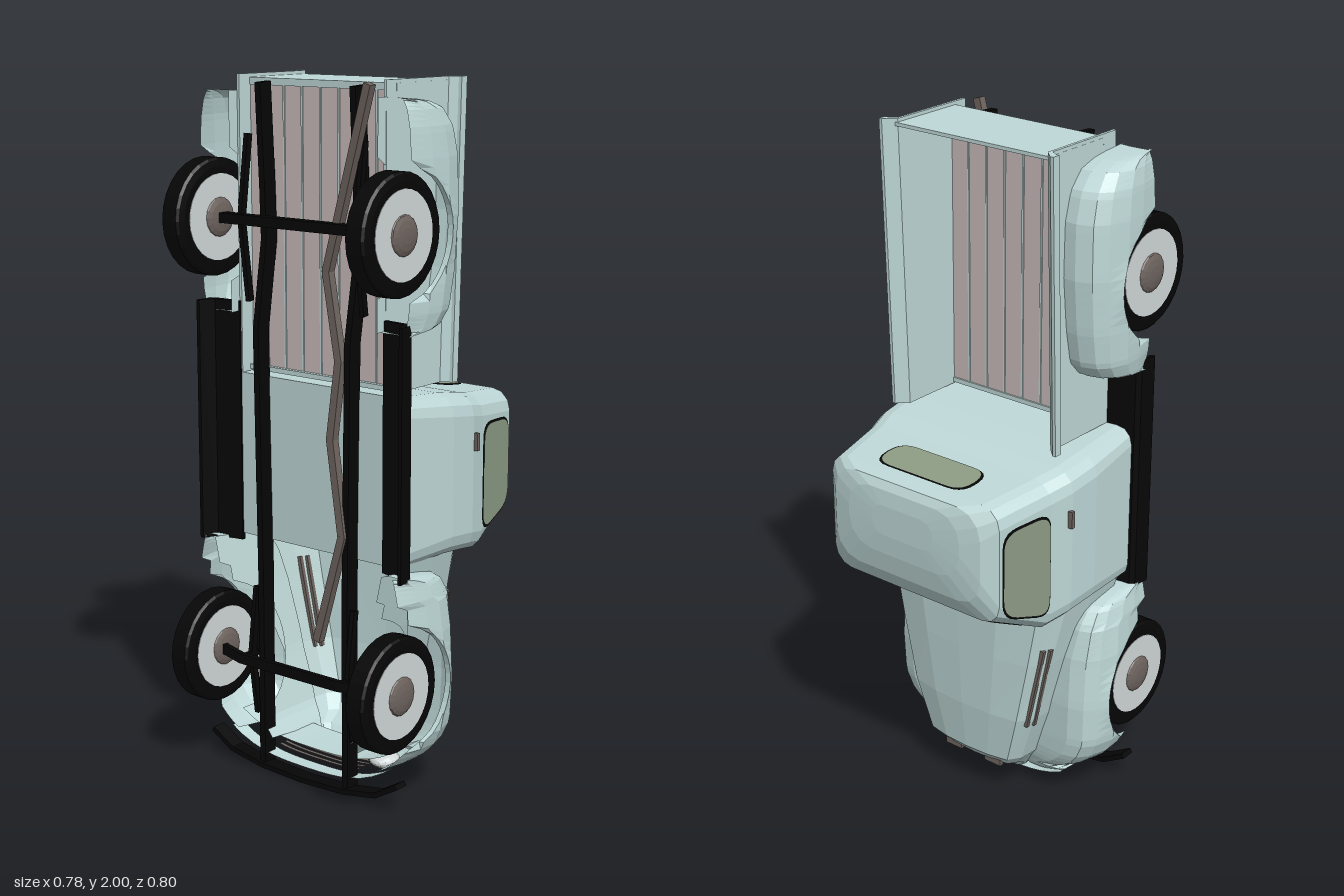
import * as THREE from 'three';

const mat = (color) => new THREE.MeshStandardMaterial({ color, flatShading: true, side: THREE.DoubleSide });
const PAINT = mat(0xbed8d7), BLACK = mat(0x060606), BROWN = mat(0x6e645f), GLASS = mat(0x8d9c85);
const WOOD = mat(0xc9bcbc), WHITE = mat(0xd2d8d8);

// Truck space: x across, y height above the road, z length (0 nose, 2 tail)
export function createModel() {
  const model = new THREE.Group();
  const truck = new THREE.Group();
  truck.name = 'truck';
  model.add(truck);

  const add = (name, geo, material) => {
    const m = new THREE.Mesh(geo, material);
    m.name = name;
    truck.add(m);
    return m;
  };
  const box = (name, w, h, d, x, y, z, material) => {
    const m = add(name, new THREE.BoxGeometry(w, h, d), material);
    m.position.set(x, y, z);
    return m;
  };
  // Straight bars through a list of points
  const bars = (name, pts, w, h, material) => {
    for (let i = 0; i + 1 < pts.length; i++) {
      const a = new THREE.Vector3(...pts[i]), b = new THREE.Vector3(...pts[i + 1]);
      const m = add(name, new THREE.BoxGeometry(w, h, a.distanceTo(b) + 0.004), material);
      m.position.copy(a).lerp(b, 0.5);
      m.lookAt(b);
    }
  };
  // Outline in x and height, drawn out along the length
  const extrude = (name, profile, s, z, depth, material) => {
    const shape = new THREE.Shape(profile.map(([x, h]) => new THREE.Vector2(s * x, h)));
    const m = add(name, new THREE.ExtrudeGeometry(shape, { depth, bevelEnabled: false }), material);
    m.position.z = z;
    return m;
  };
  // Skin over cross-sections, optionally closed around and capped
  const loft = (name, rings, material, closed = false, caps = []) => {
    const n = rings[0].length, pos = rings.flat(2), idx = [];
    for (let i = 0; i + 1 < rings.length; i++)
      for (let j = 0; j < (closed ? n : n - 1); j++) {
        const k = (j + 1) % n, a = i * n, b = a + n;
        idx.push(a + j, b + j, a + k, a + k, b + j, b + k);
      }
    for (const c of caps) {
      const center = [0, 1, 2].map((q) => rings[c].reduce((s, p) => s + p[q], 0) / n);
      const o = pos.length / 3;
      pos.push(...center);
      for (let j = 0; j < n; j++) idx.push(o, c * n + j, c * n + (j + 1) % n);
    }
    const g = new THREE.BufferGeometry();
    g.setAttribute('position', new THREE.Float32BufferAttribute(pos, 3));
    g.setIndex(idx);
    g.computeVertexNormals();
    return add(name, g, material);
  };
  // Linear lookup in rows sorted by first column
  const look = (rows, t, col) => {
    let i = 0;
    while (i < rows.length - 2 && t > rows[i + 1][0]) i++;
    const f = THREE.MathUtils.clamp((t - rows[i][0]) / (rows[i + 1][0] - rows[i][0]), 0, 1);
    return THREE.MathUtils.lerp(rows[i][col], rows[i + 1][col], f);
  };

  // Cab: rounded plan rings [height, half width, front, rear, corner radius]
  const cab = [
    [0.22, 0.345, 0.69, 1.165, 0.05], [0.4, 0.36, 0.69, 1.15, 0.06], [0.5, 0.355, 0.68, 1.135, 0.06],
    [0.57, 0.335, 0.665, 1.12, 0.06], [0.75, 0.302, 0.75, 1.1, 0.06], [0.782, 0.262, 0.805, 1.088, 0.08],
    [0.795, 0.2, 0.87, 1.065, 0.08], [0.8, 0.11, 0.93, 1.02, 0.04],
  ];
  loft('cab', cab.map(([h, w, f, b, r]) => {
    const ring = [];
    [[w - r, b - r], [-w + r, b - r], [-w + r, f + r], [w - r, f + r]].forEach(([cx, cz], q) => {
      for (let k = 0; k <= 3; k++) {
        const a = (q + k / 3) * Math.PI / 2;
        ring.push([cx + r * Math.cos(a), h, cz + r * Math.sin(a)]);
      }
    });
    return ring;
  }), PAINT, true, [0, cab.length - 1]);

  // Windows: rounded outlines laid on the cab walls
  const pane = (corners, place, name, round) => {
    const c = corners.map((p) => new THREE.Vector2(...p));
    const mid = c.reduce((s, p) => s.add(p), new THREE.Vector2()).divideScalar(4);
    [[1.04, 0.002, BLACK, ' seal'], [1, 0.005, GLASS, '']].forEach(([scale, off, material, suffix]) => {
      const p = c.map((v) => v.clone().sub(mid).multiplyScalar(scale).add(mid));
      const shape = new THREE.Shape();
      p.forEach((v, i) => {
        const prev = p[(i + 3) % 4], next = p[(i + 1) % 4];
        const a = v.clone().add(prev.clone().sub(v).setLength(round));
        const b = v.clone().add(next.clone().sub(v).setLength(round));
        if (i) shape.lineTo(a.x, a.y); else shape.moveTo(a.x, a.y);
        shape.quadraticCurveTo(v.x, v.y, b.x, b.y);
      });
      const g = new THREE.ShapeGeometry(shape, 5), P = g.attributes.position;
      for (let i = 0; i < P.count; i++) P.setXYZ(i, ...place(P.getX(i), P.getY(i), off));
      g.computeVertexNormals();
      add(name + suffix, g, material);
    });
  };
  pane([[-0.26, 0.59], [0.26, 0.59], [0.235, 0.73], [-0.235, 0.73]],
    (x, h, o) => [x, h, look(cab, h, 2) - o], 'windshield', 0.035);
  pane([[-0.157, 0.618], [0.157, 0.618], [0.157, 0.732], [-0.157, 0.732]],
    (x, h, o) => [x, h, look(cab, h, 3) + o], 'rear window', 0.055);
  for (const s of [-1, 1]) {
    pane([[0.725, 0.575], [1.035, 0.575], [1.025, 0.738], [0.775, 0.738]],
      (z, h, o) => [s * (look(cab, h, 1) + o), h, z], 'side window', 0.05);
    box('door handle', 0.02, 0.012, 0.05, s * 0.355, 0.51, 1.0, BROWN);
  }

  // Hood: arched sections [length, half width, top, bottom]
  const hood = [
    [0.035, 0.1, 0.4, 0.37], [0.075, 0.13, 0.44, 0.37], [0.1, 0.145, 0.5, 0.37], [0.14, 0.175, 0.537, 0.37],
    [0.3, 0.23, 0.556, 0.36], [0.5, 0.28, 0.565, 0.3], [0.7, 0.325, 0.572, 0.24],
  ];
  loft('hood', hood.map(([z, w, t, b]) => {
    const side = [[1, b], [1, b + (t - b) * 0.35], [0.97, b + (t - b) * 0.68], [0.83, t - (t - b) * 0.1], [0.45, t - 0.004]];
    return [...side.map(([k, h]) => [-w * k, h, z]), [0, t, z], ...side.reverse().map(([k, h]) => [w * k, h, z])];
  }), PAINT, false, [0]);
  for (const s of [-1, 1]) {
    bars('hood vent', [[s * 0.217, 0.487, 0.28], [s * 0.275, 0.487, 0.55]], 0.012, 0.012, BROWN);
    bars('hood vent', [[s * 0.206, 0.507, 0.28], [s * 0.264, 0.507, 0.55]], 0.012, 0.012, BROWN);
    box('nose slot', 0.06, 0.014, 0.02, s * 0.075, 0.497, 0.103, BROWN);
  }

  // Fenders: arched shells whose lower edge follows the wheel opening
  const fender = (name, rows, inner, lowAt, wheelZ, R) => {
    const z0 = rows[0][0], z1 = rows[rows.length - 1][0], N = 36;
    for (const s of [-1, 1]) {
      const rings = [];
      for (let i = 0; i <= N; i++) {
        const z = z0 + (z1 - z0) * (0.5 - 0.5 * Math.cos(Math.PI * i / N));
        const xo = look(rows, z, 1), t = look(rows, z, 2), xi = Math.min(inner(z), xo - 0.01);
        const d = Math.abs(z - wheelZ), low = lowAt(z);
        const b = Math.min(d < R ? Math.max(low, 0.165 + Math.sqrt(R * R - d * d)) : low, t - 0.01);
        const c = Math.min(0.09, (xo - xi) * 0.7), H = t - low;
        const y = (k) => Math.max(b, low + H * k);
        rings.push([[xo - 0.018, b, z], [xo - 0.003, y(0.3), z], [xo, y(0.55), z], [xo - c * 0.2, y(0.8), z],
          [xo - c * 0.5, y(0.94), z], [xo - c, t, z], [xi, t - 0.003, z], [xi, b, z]].map(([x, h, l]) => [s * x, h, l]));
      }
      loft(name, rings, PAINT);
    }
  };
  fender('front fender', [
    [0.055, 0.19, 0.385], [0.076, 0.24, 0.4], [0.117, 0.315, 0.418], [0.16, 0.36, 0.427], [0.22, 0.387, 0.432],
    [0.35, 0.392, 0.435], [0.5, 0.39, 0.425], [0.6, 0.382, 0.405], [0.65, 0.372, 0.37], [0.67, 0.367, 0.28], [0.683, 0.362, 0.17],
  ], (z) => look(hood, z, 1) - 0.015, (z) => (z < 0.09 ? 0.36 : z > 0.6 ? 0.15 : 0.19), 0.353, 0.19);
  fender('rear fender', [
    [1.34, 0.365, 0.2], [1.352, 0.375, 0.36], [1.4, 0.385, 0.405], [1.5, 0.39, 0.425], [1.65, 0.392, 0.44],
    [1.8, 0.39, 0.437], [1.88, 0.385, 0.415], [1.93, 0.375, 0.37], [1.95, 0.365, 0.3], [1.957, 0.36, 0.2],
  ], () => 0.262, () => 0.185, 1.61, 0.178);

  // Nose face: curved panels around a recessed grille
  const plan = (x) => 0.04 + 0.12 * (Math.abs(x) / 0.36) ** 3;
  const ribbon = (name, half, h0, h1, back, material) => {
    const xs = Array.from({ length: 15 }, (_, i) => half * (i / 7 - 1));
    loft(name, xs.map((x) => [[x, h0, plan(x) + back], [x, h1, plan(x) + back]]), material);
  };
  ribbon('lower nose panel', 0.285, 0.19, 0.235, 0, PAINT);
  ribbon('upper nose panel', 0.25, 0.36, 0.4, 0, PAINT);
  ribbon('grille backing', 0.28, 0.23, 0.37, 0.045, PAINT);
  for (let i = 0; i < 5; i++) ribbon('grille bar', 0.15, 0.246 + i * 0.023, 0.258 + i * 0.023, 0.008, BROWN);
  for (const s of [-1, 1]) {
    const lamp = add('headlight', new THREE.SphereGeometry(0.045, 14, 8), WHITE);
    lamp.scale.z = 0.5;
    lamp.position.set(s * 0.205, 0.298, 0.085);
  }

  // Cargo bed
  box('bed floor', 0.52, 0.012, 0.8, 0, 0.272, 1.58, WOOD);
  for (let i = -3; i <= 3; i++) box('floor strip', 0.006, 0.018, 0.79, i * 0.065, 0.272, 1.58, PAINT);
  box('tailgate', 0.527, 0.24, 0.01, 0, 0.385, 1.985, PAINT);
  box('tail sill', 0.527, 0.012, 0.02, 0, 0.268, 1.98, PAINT);
  box('front sill', 0.52, 0.03, 0.014, 0, 0.268, 1.177, PAINT);
  for (const s of [-1, 1]) {
    const side = extrude('bed side', [[0.254, 0.22], [0.263, 0.22], [0.263, 0.49], [0.285, 0.505], [0.295, 0.505],
      [0.295, 0.53], [0.285, 0.53], [0.254, 0.5]], s, 1.165, 0.835, PAINT);
    // The top rail drops slightly towards the cab
    const P = side.geometry.attributes.position;
    for (let i = 0; i < P.count; i++)
      if (P.getY(i) > 0.4) P.setY(i, P.getY(i) - 0.027 * (1 - P.getZ(i) / 0.835));
  }

  // Wheels, the same on both faces
  const tyre = [[0.09, -0.03], [0.115, -0.035], [0.14, -0.035], [0.158, -0.031], [0.165, -0.025],
    [0.165, 0.025], [0.158, 0.031], [0.14, 0.035], [0.115, 0.035], [0.09, 0.03]].map((p) => new THREE.Vector2(...p));
  for (const z of [0.353, 1.61]) for (const s of [-1, 1]) {
    const wheel = new THREE.Group();
    wheel.name = 'wheel';
    const part = (name, geo, material, y, flat = 1) => {
      const m = new THREE.Mesh(geo, material);
      m.name = name;
      m.position.y = y;
      m.scale.y = flat;
      wheel.add(m);
    };
    part('tyre', new THREE.LatheGeometry(tyre, 28), BLACK, 0);
    part('whitewall', new THREE.CylinderGeometry(0.121, 0.121, 0.073, 28), WHITE, 0);
    for (const f of [-1, 1])
      part('hubcap', new THREE.SphereGeometry(0.057, 16, 8), BROWN, f * 0.034, 0.28);
    wheel.rotation.z = -s * Math.PI / 2;
    wheel.position.set(s * 0.324 + 0.006, 0.165, z);
    truck.add(wheel);
  }

  // Chassis, running boards, springs, axles, exhaust and bumper
  for (const s of [-1, 1]) {
    bars('frame rail', [[s * 0.155, 0.2, 0.02], [s * 0.155, 0.2, 0.6], [s * 0.165, 0.2, 1.3], [s * 0.167, 0.24, 1.55],
      [s * 0.167, 0.235, 1.7], [s * 0.167, 0.22, 1.98]], 0.02, 0.045, BLACK);
    extrude('running board', [[0.258, 0.215], [0.34, 0.2], [0.358, 0.155], [0.369, 0.155], [0.362, 0.205],
      [0.35, 0.217], [0.258, 0.227]], s, 0.67, 0.7, BLACK);
    bars('front spring', [[s * 0.18, 0.19, 0.17], [s * 0.18, 0.165, 0.353], [s * 0.18, 0.19, 0.55]], 0.014, 0.02, BLACK);
    bars('rear spring', [[s * 0.205, 0.2, 1.38], [s * 0.205, 0.17, 1.61], [s * 0.205, 0.2, 1.84]], 0.014, 0.02, BLACK);
    bars('front axle link', [[s * 0.18, 0.12, 0.353], [s * 0.18, 0.19, 0.353]], 0.015, 0.015, BLACK);
  }
  bars('rear axle', [[-0.3, 0.165, 1.61], [0.3, 0.165, 1.61]], 0.028, 0.035, BLACK);
  bars('front axle', [[-0.3, 0.155, 0.353], [-0.18, 0.118, 0.353], [0.18, 0.118, 0.353], [0.3, 0.155, 0.353]], 0.03, 0.016, BLACK);
  bars('exhaust', [[0.25, 0.165, 1.99], [0.093, 0.185, 1.49], [0.14, 0.18, 1.25], [0.11, 0.18, 1.03],
    [0.15, 0.18, 0.76], [0.05, 0.19, 0.44]], 0.024, 0.024, BROWN);
  bars('front bumper', [[-0.343, 0.19, 0.078], [-0.27, 0.19, 0.035], [-0.15, 0.19, 0.014], [0, 0.19, 0.008],
    [0.15, 0.19, 0.014], [0.27, 0.19, 0.035], [0.343, 0.19, 0.078]], 0.015, 0.045, BLACK);

  // Stand the truck on its nose, roof towards the back
  truck.rotation.x = -Math.PI / 2;
  truck.position.z = 0.4;
  return model;
}
